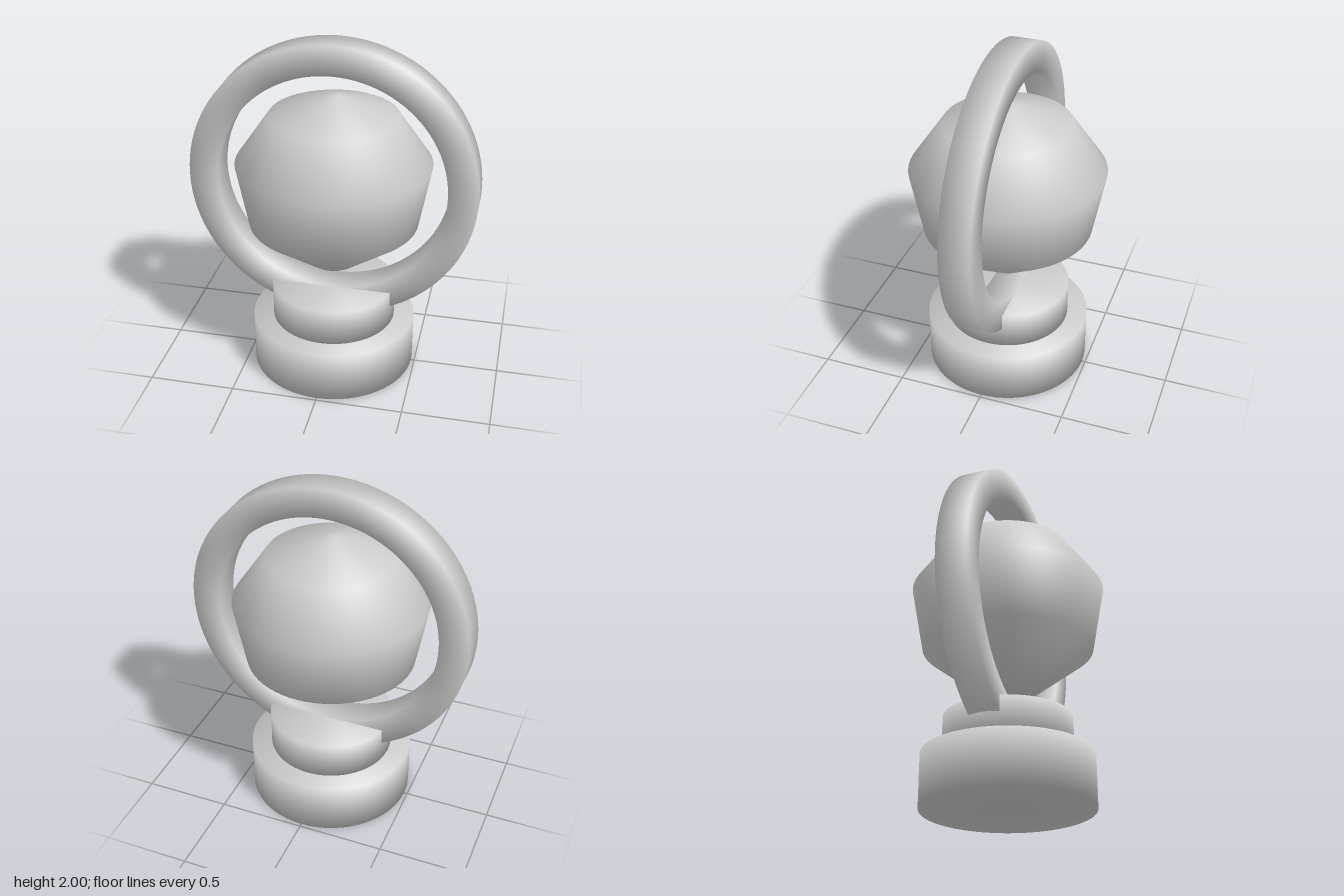
import * as THREE from 'three';

const material = new THREE.MeshStandardMaterial({ color: 0xcccccc });

// Smooth solid of revolution from [radius, height] pairs, listed bottom to top
function turned(name, profile) {
  const points = profile.map(([r, y]) => new THREE.Vector2(r, y));
  const mesh = new THREE.Mesh(new THREE.LatheGeometry(points, 64), material);
  mesh.name = name;
  return mesh;
}

// Square-section ring: a four-sided torus with its section turned by 45 degrees
function squareRing(inner, outer, halfDepth) {
  const mid = (inner + outer) / 2, half = (outer - inner) / 2;
  const sides = 4, steps = 96;
  const geometry = new THREE.TorusGeometry(mid, half, sides, steps);
  const { position, normal } = geometry.attributes;
  for (let j = 0; j <= sides; j++) {
    const a = Math.PI / 4 + (j / sides) * Math.PI * 2;
    const c = Math.cos(a), s = Math.sin(a);
    const r = mid + Math.sign(c) * half, z = Math.sign(s) * halfDepth;
    for (let i = 0; i <= steps; i++) {
      const t = (i / steps) * Math.PI * 2, k = j * (steps + 1) + i;
      position.setXYZ(k, r * Math.cos(t), r * Math.sin(t), z);
      normal.setXYZ(k, c * Math.cos(t), c * Math.sin(t), s);
    }
  }
  return geometry;
}

export function createModel() {
  const model = new THREE.Group();
  model.name = 'ringedOrbOnStand';

  // Two-step round stand
  model.add(turned('base', [[0, 0], [0.48, 0], [0.48, 0.305], [0, 0.305]]));
  model.add(turned('pedestal', [[0, 0.305], [0.362, 0.305], [0.362, 0.52], [0, 0.52]]));

  // Upright ring sunk into the pedestal
  const ring = new THREE.Mesh(squareRing(0.655, 0.825, 0.087), material);
  ring.name = 'ring';
  ring.position.y = 1.175;
  model.add(ring);

  // Faceted-profile orb floating in the ring
  model.add(turned('orb', [
    [0, 0.66], [0.14, 0.66], [0.487, 0.93], [0.555, 1.3],
    [0.362, 1.58], [0.03, 1.695], [0, 1.695],
  ]));

  return model;
}
